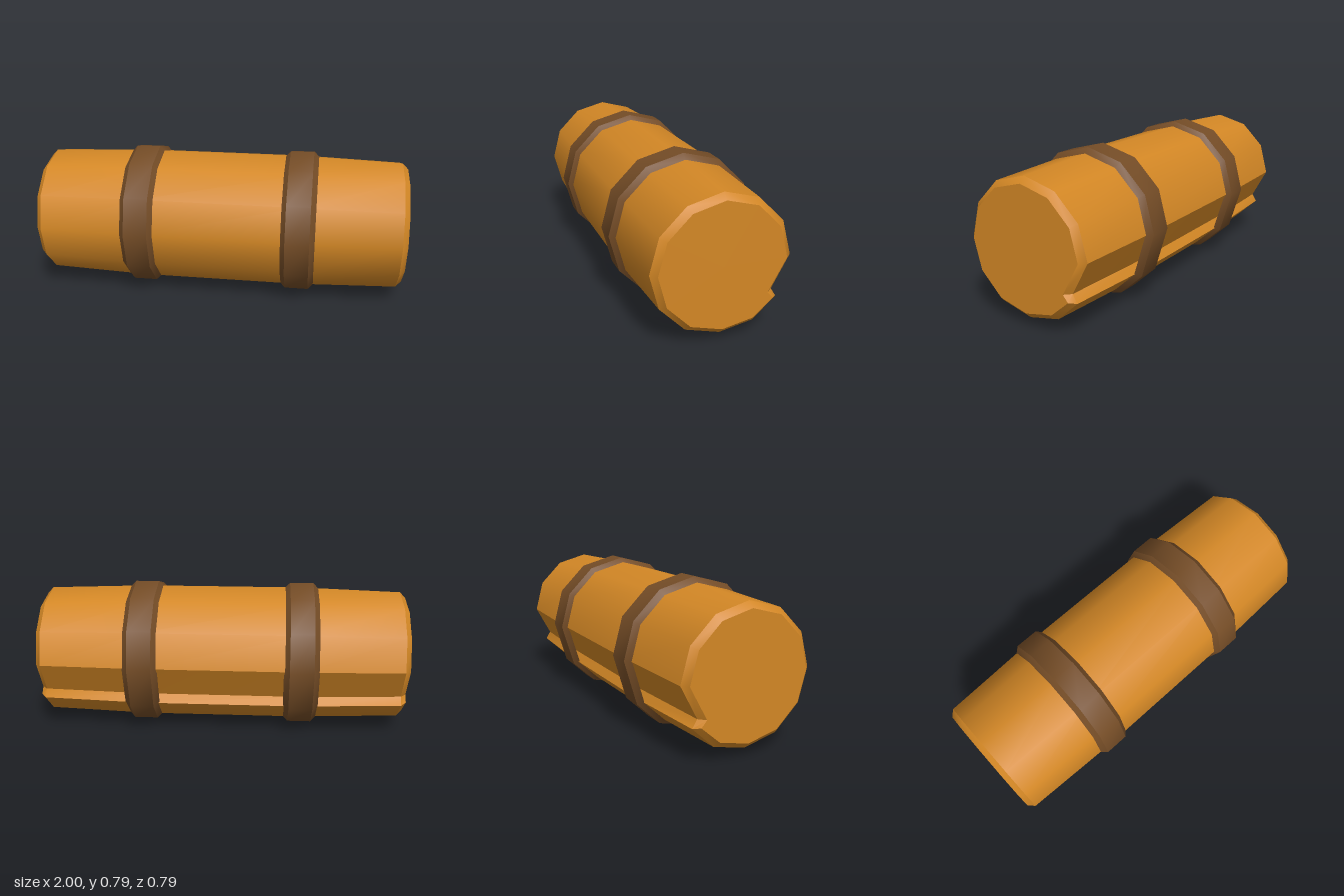
import * as THREE from 'three';
import { toCreasedNormals } from 'three/addons/utils/BufferGeometryUtils.js';

const CENTRE_Y = 0.393;
const CREASE = 0.62;

// Twelve-sided unit outline as [z, y], from the top towards the back, with a dented lower back.
const DENT = [[-0.82, -0.595], [-0.49, -0.9]];
const NOTCH = [-0.745, -0.474];
const CAP_NOTCH = [-0.714, -0.522];
const CAP_LIP = [-0.805, -0.629];

function outline(notch, lip = DENT[0]) {
  const points = [];
  for (let i = 0; i < 12; i++) {
    if (i === 4) {
      if (notch) points.push(notch);
      points.push(lip);
    } else if (i === 5) {
      points.push(DENT[1]);
    } else {
      const a = (i * Math.PI) / 6;
      points.push([-Math.sin(a), Math.cos(a)]);
    }
  }
  return points;
}

// Joins scaled outlines along x; the ends are capped, or the loop closes on itself.
function loft(sections, closed) {
  const position = [];
  const index = [];
  const n = sections[0].points.length;
  const count = sections.length;
  for (const { x, r, points } of sections) {
    for (const [z, y] of points) position.push(x, y * r, z * r);
  }
  const rows = closed ? count : count - 1;
  for (let i = 0; i < rows; i++) {
    const next = (i + 1) % count;
    for (let j = 0; j < n; j++) {
      const k = (j + 1) % n;
      const a = i * n + j, b = i * n + k, c = next * n + k, d = next * n + j;
      index.push(a, d, c, a, c, b);
    }
  }
  if (!closed) {
    const first = count * n;
    position.push(sections[0].x, 0, 0, sections[count - 1].x, 0, 0);
    const last = (count - 1) * n;
    for (let j = 0; j < n; j++) {
      const k = (j + 1) % n;
      index.push(first, j, k, first + 1, last + k, last + j);
    }
  }
  const geometry = new THREE.BufferGeometry();
  geometry.setAttribute('position', new THREE.Float32BufferAttribute(position, 3));
  geometry.setIndex(index);
  return toCreasedNormals(geometry, CREASE);
}

export function createModel() {
  const model = new THREE.Group();
  model.name = 'bandedLog';

  const wood = new THREE.MeshStandardMaterial({ color: 0xd38725 });
  wood.name = 'orange wood';
  const strap = new THREE.MeshStandardMaterial({ color: 0x744c26 });
  strap.name = 'brown band';

  // Body: bevelled ends, slight bulge and a lengthwise notch
  const side = outline(NOTCH);
  const cap = outline(CAP_NOTCH, CAP_LIP);
  const body = new THREE.Mesh(loft([
    { x: -1, r: 0.318, points: cap },
    { x: -0.97, r: 0.349, points: side },
    { x: -0.43, r: 0.368, points: side },
    { x: 0.43, r: 0.368, points: side },
    { x: 0.97, r: 0.349, points: side },
    { x: 1, r: 0.318, points: cap },
  ], false), wood);
  body.name = 'body';
  body.position.y = CENTRE_Y;
  model.add(body);

  // Bands: chamfered rings that bridge the notch
  const ring = outline(null);
  const bandGeometry = loft([
    { x: -0.094, r: 0.362, points: ring },
    { x: -0.064, r: 0.393, points: ring },
    { x: 0.064, r: 0.393, points: ring },
    { x: 0.094, r: 0.362, points: ring },
  ], true);
  for (const [name, x] of [['leftBand', 0.43], ['rightBand', -0.43]]) {
    const band = new THREE.Mesh(bandGeometry, strap);
    band.name = name;
    band.position.set(x, CENTRE_Y, 0);
    model.add(band);
  }
  return model;
}
